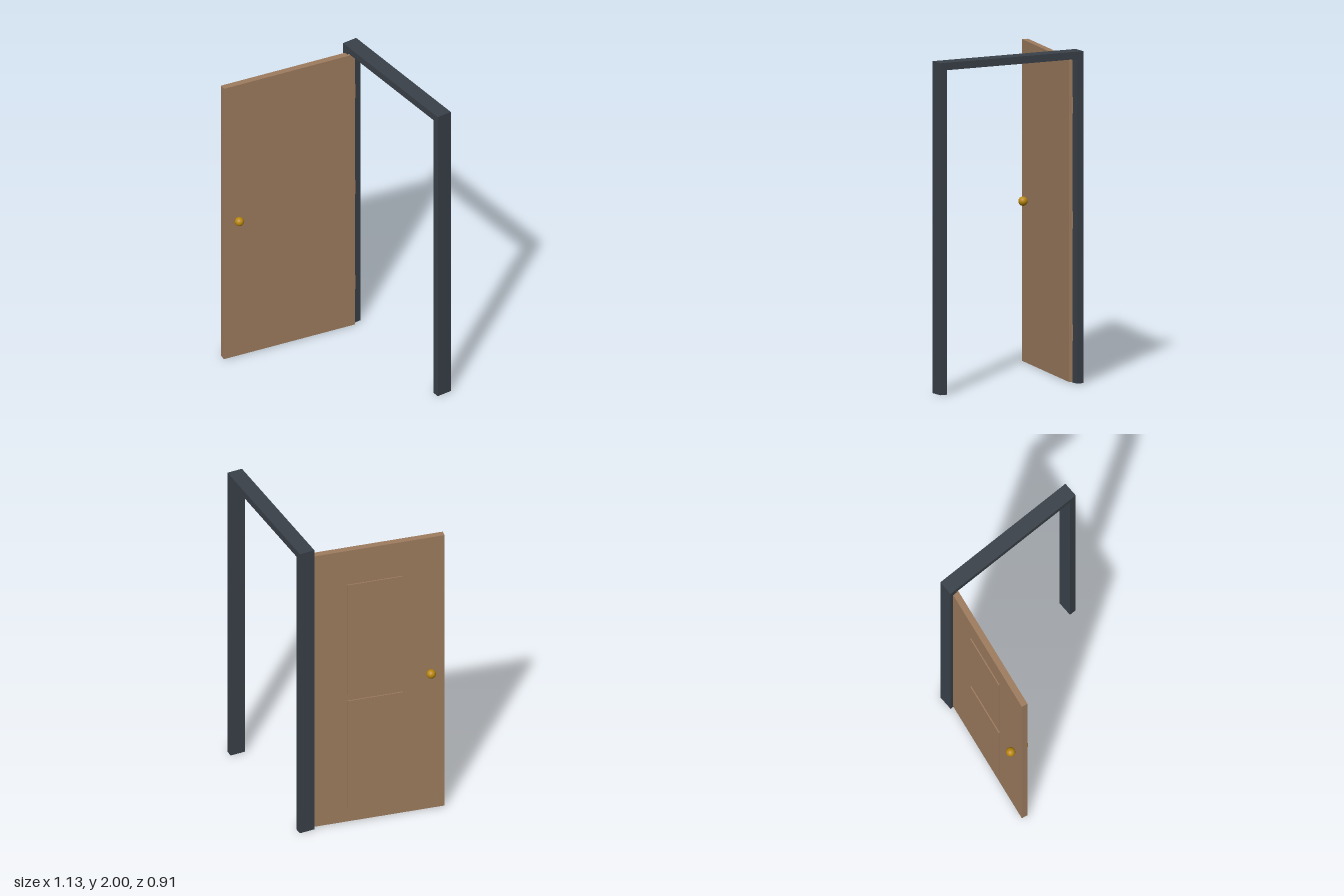
import * as THREE from 'three';

export function createModel() {
  const root = new THREE.Group();
  root.name = 'openDoor';
  const mat = (name, color) => {
    const m = new THREE.MeshStandardMaterial({ color });
    m.name = name;
    return m;
  };
  const slate = mat('slate frame', 0x3a4149);
  const wood = mat('brown wood', 0x9e7c5f);
  const brass = mat('brass', 0xb8860b);

  const add = (parent, name, geometry, material, x, y, z) => {
    const mesh = new THREE.Mesh(geometry, material);
    mesh.name = name;
    mesh.position.set(x, y, z);
    parent.add(mesh);
    return mesh;
  };

  // Frame: two posts and a header
  const frame = new THREE.Group();
  frame.name = 'frame';
  root.add(frame);
  const left = -0.408, right = 0.564, bar = 0.045, depth = 0.096, frameZ = -0.407;
  const post = new THREE.BoxGeometry(bar, 2 - bar, depth);
  add(frame, 'hingePost', post, slate, left + bar / 2, 1 - bar / 2, frameZ);
  add(frame, 'latchPost', post, slate, right - bar / 2, 1 - bar / 2, frameZ);
  add(frame, 'header', new THREE.BoxGeometry(right - left, bar, depth), slate,
    (left + right) / 2, 2 - bar / 2, frameZ);

  // Door swung open; local z runs from the hinge to the free edge
  const door = new THREE.Group();
  door.name = 'door';
  door.position.set(-0.36, 0, -0.403);
  door.rotation.y = -THREE.MathUtils.degToRad(10);
  root.add(door);
  const width = 0.865, thick = 0.039, bottom = 0.004, top = 1.942;
  add(door, 'doorLeaf', new THREE.BoxGeometry(thick, top - bottom, width), wood,
    0, (top + bottom) / 2, width / 2);

  // Raised panels on the outer face
  for (const [name, y0, y1] of [['lowerPanel', 0.1, 0.87], ['upperPanel', 0.92, 1.7]]) {
    add(door, name, new THREE.BoxGeometry(0.008, y1 - y0, 0.34), wood,
      -thick / 2 - 0.003, (y0 + y1) / 2, width / 2);
  }

  // Hinges on the edge beside the post
  const hinge = new THREE.BoxGeometry(0.02, 0.1, 0.008);
  for (const y of [0.3, 0.98, 1.67]) add(door, 'hinge', hinge, wood, 0, y, -0.002);

  // A knob on each face
  const knob = new THREE.SphereGeometry(0.028, 32, 20);
  for (const side of [-1, 1]) add(door, 'knob', knob, brass, side * 0.044, 0.98, width - 0.09);

  return root;
}
